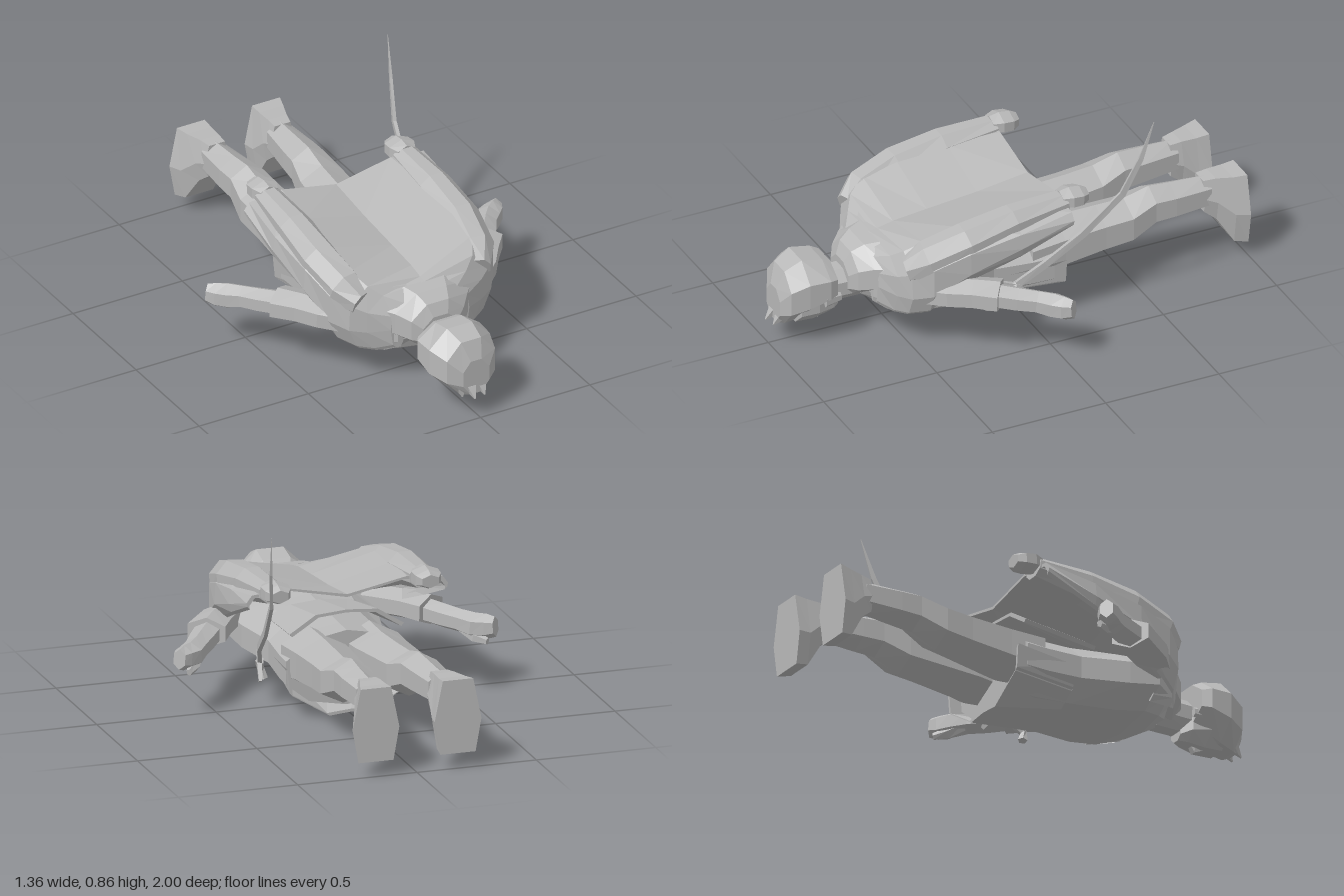
import * as THREE from 'three';

const clay = new THREE.MeshStandardMaterial({ color: 0xb8b8b8, flatShading: true, side: THREE.DoubleSide });
clay.name = 'plain grey';
const V = (x, y, z) => new THREE.Vector3(x, y, z);

// Skin a stack of equal-length rings, cap both ends and face the surface outward.
function loft(name, rings) {
  const tris = [], n = rings[0].length;
  for (let i = 0; i < rings.length - 1; i++)
    for (let j = 0; j < n; j++) {
      const k = (j + 1) % n, a = rings[i][j], b = rings[i][k], c = rings[i + 1][k], d = rings[i + 1][j];
      tris.push([a, b, c], [a, c, d]);
    }
  const cap = (r, flip) => {
    const add = (a, b, c) => tris.push(flip ? [a, c, b] : [a, b, c]);
    if (r.thin) { // strip cap for a sheet whose second half runs back along the first
      for (let j = 0; j < n / 2 - 1; j++) {
        add(r[j], r[j + 1], r[n - 2 - j]);
        add(r[j], r[n - 2 - j], r[n - 1 - j]);
      }
    } else {
      const mid = r.reduce((s, p) => s.add(p), V(0, 0, 0)).divideScalar(n);
      r.forEach((p, j) => add(mid, p, r[(j + 1) % n]));
    }
  };
  cap(rings[0], true);
  cap(rings[rings.length - 1], false);
  const volume = tris.reduce((s, [a, b, c]) => s + a.dot(b.clone().cross(c)), 0);
  const pts = tris.flatMap(([a, b, c]) => (volume < 0 ? [a, c, b] : [a, b, c]));
  const g = new THREE.BufferGeometry().setFromPoints(pts);
  g.computeVertexNormals();
  const m = new THREE.Mesh(g, clay);
  m.name = name;
  return m;
}

// Polygon ring facing along z: [x, y, z, half width, half height]
const ring = ([x, y, z, rx, ry], n = 8) => Array.from({ length: n }, (_, i) => {
  const a = (i + 0.5) / n * Math.PI * 2, f = 1 / Math.cos(Math.PI / n);
  return V(x + Math.cos(a) * rx * f, y + Math.sin(a) * ry * (n % 4 ? 1 : f), z);
});
const body = (name, rows, n) => loft(name, rows.map(r => ring(r, n)));

// Polygon tube whose rings stand square to its path: [x, y, z, side radius, upright radius]
function limb(name, rows, n = 6) {
  const p = rows.map(r => V(r[0], r[1], r[2]));
  return loft(name, rows.map((r, i) => {
    const t = p[Math.min(i + 1, p.length - 1)].clone().sub(p[Math.max(i - 1, 0)]).normalize();
    const u = t.clone().cross(V(0, 1, 0)).normalize(), v = u.clone().cross(t);
    return Array.from({ length: n }, (_, j) => {
      const a = (j + 0.5) / n * Math.PI * 2;
      return p[i].clone().addScaledVector(u, Math.cos(a) * r[3]).addScaledVector(v, Math.sin(a) * r[4]);
    });
  }));
}

// Shoe-shaped rings, narrow at the heel and wide at the ball: [x, z, half width, top, bottom]
const foot = (name, rows) => loft(name, rows.map(([x, z, w, top, low]) =>
  [[-0.65, 0], [0.65, 0], [1, 0.55], [0.75, 1], [-0.75, 1], [-1, 0.55]]
    .map(([a, b]) => V(x + a * w, top + (low - top) * b, z))));

// Thin sheet through mirrored half profiles [x, y], listed from the edge to the middle
function sheet(name, rows, t = 0.012) {
  return loft(name, rows.map(([z, ...half]) => {
    const outer = [...half.map(([x, y]) => [-x, y]), ...half.slice(0, -1).reverse()];
    const r = [...outer.map(([x, y]) => V(x, y, z)),
      ...outer.slice().reverse().map(([x, y]) => V(x - Math.sign(x) * t, y - t, z))];
    r.thin = true;
    return r;
  }));
}

export function createModel() {
  const g = new THREE.Group();
  g.name = 'lyingFigure';

  // Jacketed torso, chest down
  g.add(body('torso', [
    [0, 0.22, 0.62, 0.09, 0.075], [0, 0.22, 0.55, 0.21, 0.115], [0, 0.215, 0.45, 0.30, 0.14],
    [0, 0.20, 0.32, 0.285, 0.15], [0, 0.19, 0.12, 0.24, 0.15], [0, 0.18, -0.04, 0.25, 0.155],
    [0, 0.18, -0.14, 0.255, 0.155]], 10));
  g.add(sheet('jacketFrontHem', [
    [0.1, [0.24, 0.19], [0.21, 0.11], [0.13, 0.06], [0, 0.045]],
    [-0.19, [0.265, 0.21], [0.255, 0.11], [0.10, 0.014], [0, 0.022]]]));
  g.add(sheet('jacketTail', [
    [0.2, [0.22, 0.31], [0.12, 0.35], [0, 0.36]],
    [-0.14, [0.24, 0.34], [0.13, 0.41], [0, 0.42]]]));

  // Coat draped over the back and wrapped around the shoulders
  g.add(sheet('drapedCoat', [
    [0.6, [0.17, 0.18], [0.18, 0.25], [0.17, 0.31], [0.12, 0.36], [0, 0.385]],
    [0.555, [0.23, 0.16], [0.26, 0.24], [0.26, 0.33], [0.19, 0.39], [0, 0.40]],
    [0.52, [0.29, 0.17], [0.325, 0.25], [0.32, 0.36], [0.24, 0.43], [0, 0.405]],
    [0.45, [0.34, 0.19], [0.375, 0.27], [0.375, 0.39], [0.28, 0.475], [0, 0.42]],
    [0.3, [0.37, 0.30], [0.405, 0.35], [0.40, 0.44], [0.29, 0.51], [0, 0.435]],
    [0.08, [0.41, 0.385], [0.42, 0.42], [0.41, 0.48], [0.27, 0.525], [0, 0.455]],
    [-0.145, [0.42, 0.475], [0.422, 0.49], [0.40, 0.52], [0.25, 0.535], [0, 0.485]]]));

  // Coat collar, neck and head
  g.add(body('collar', [
    [0, 0.29, 0.55, 0.22, 0.11], [0, 0.28, 0.61, 0.165, 0.11], [0, 0.26, 0.66, 0.12, 0.10],
    [0, 0.24, 0.685, 0.08, 0.07]], 8));
  g.add(body('neck', [[0, 0.21, 0.6, 0.075, 0.07], [0, 0.21, 0.78, 0.07, 0.07]], 8));
  g.add(body('face', [
    [0, 0.14, 0.71, 0.035, 0.035], [0, 0.165, 0.745, 0.075, 0.065], [0, 0.185, 0.82, 0.10, 0.095],
    [0, 0.185, 0.9, 0.10, 0.09]], 8));
  g.add(limb('nose', [[0, 0.105, 0.84, 0.012, 0.012], [0, 0.085, 0.79, 0.02, 0.018], [0, 0.11, 0.775, 0.014, 0.01]], 4));
  g.add(body('hair', [
    [-0.015, 0.25, 0.745, 0.125, 0.085], [-0.02, 0.25, 0.78, 0.142, 0.1], [-0.022, 0.238, 0.87, 0.138, 0.13],
    [-0.012, 0.215, 0.945, 0.11, 0.12], [-0.005, 0.18, 0.975, 0.06, 0.075]], 8));
  // Fringe spikes
  for (const [x, z] of [[-0.06, 0.96], [-0.025, 1], [0.025, 0.99]])
    g.add(limb('fringeSpike', [[x, 0.18, 0.91, 0.035, 0.03], [x, 0.13, (z + 0.93) / 2, 0.025, 0.022],
      [x, 0.095, z, 0.003, 0.003]], 4));

  for (const s of [1, -1]) {
    const side = s > 0 ? 'left' : 'right';
    const mir = rows => rows.map(([x, ...r]) => [x * s, ...r]);

    g.add(body(side + 'Ear', mir([[0.1, 0.2, 0.73, 0.012, 0.02], [0.108, 0.2, 0.8, 0.014, 0.03]]), 6));
    // Standing lapel
    g.add(body(side + 'Lapel', mir([[0.14, 0.22, 0.61, 0.012, 0.05], [0.19, 0.21, 0.565, 0.02, 0.065],
      [0.24, 0.16, 0.44, 0.025, 0.04]]), 6));

    // Sleeve with flared cuff, then forearm and hand
    g.add(limb(side + 'Arm', mir([[0.29, 0.255, 0.45, 0.06, 0.06], [0.355, 0.265, 0.37, 0.08, 0.06],
      [0.41, 0.27, 0.29, 0.082, 0.06], [0.47, 0.268, 0.205, 0.09, 0.062]])));
    g.add(limb(side + 'Hand', mir([[0.45, 0.265, 0.23, 0.06, 0.05], [0.51, 0.255, 0.145, 0.056, 0.05],
      [0.555, 0.25, 0.08, 0.05, 0.048], [0.595, 0.242, 0.03, 0.055, 0.053], [0.635, 0.242, 0, 0.045, 0.052],
      [0.662, 0.245, -0.025, 0.03, 0.042]])));
    g.add(limb(side + 'Thumb', mir([[0.55, 0.23, 0.06, 0.02, 0.025], [0.59, 0.2, 0.01, 0.025, 0.025],
      [0.625, 0.19, -0.035, 0.012, 0.015]]), 5));

    // Empty coat sleeve trailing over the back
    g.add(limb(side + 'EmptySleeve', mir([[0.27, 0.36, 0.52, 0.05, 0.055], [0.3, 0.39, 0.44, 0.08, 0.095],
      [0.32, 0.445, 0.28, 0.085, 0.09], [0.32, 0.495, 0.08, 0.075, 0.07], [0.315, 0.525, -0.15, 0.058, 0.045]]), 8));
    g.add(limb(side + 'SleeveEnd', mir([[0.315, 0.54, -0.13, 0.045, 0.035], [0.315, 0.54, -0.17, 0.065, 0.043],
      [0.315, 0.537, -0.215, 0.062, 0.04], [0.315, 0.535, -0.245, 0.04, 0.028]])));

    // Leg and foot
    g.add(body(side + 'Leg', mir([[0.125, 0.21, -0.05, 0.12, 0.125], [0.122, 0.225, -0.2, 0.112, 0.11],
      [0.13, 0.24, -0.38, 0.1, 0.1], [0.138, 0.25, -0.5, 0.096, 0.095], [0.14, 0.288, -0.61, 0.075, 0.085],
      [0.145, 0.288, -0.7, 0.07, 0.08], [0.15, 0.29, -0.86, 0.055, 0.072]]), 6));
    g.add(foot(side + 'Foot', mir([[0.15, -0.83, 0.055, 0.36, 0.22], [0.155, -0.88, 0.065, 0.365, 0.18],
      [0.165, -0.945, 0.085, 0.365, 0.075], [0.172, -1, 0.098, 0.37, 0.065]])));
  }

  // Curved sword hung at the left hip, with guard and grip
  g.add(limb('swordBlade', [[0.3, 0.18, 0.05, 0.012, 0.02], [0.34, 0.27, -0.06, 0.012, 0.02],
    [0.365, 0.38, -0.21, 0.011, 0.02], [0.395, 0.54, -0.37, 0.01, 0.018],
    [0.42, 0.7, -0.44, 0.008, 0.014], [0.435, 0.865, -0.49, 0.001, 0.002]], 4));
  g.add(limb('swordGuard', [[0.315, 0.11, 0.0, 0.008, 0.01], [0.305, 0.17, 0.04, 0.014, 0.02],
    [0.285, 0.2, 0.12, 0.008, 0.01]], 4));
  g.add(limb('swordGrip', [[0.3, 0.18, 0.05, 0.018, 0.018], [0.28, 0.15, 0.12, 0.016, 0.016],
    [0.26, 0.11, 0.16, 0.016, 0.016], [0.25, 0.07, 0.15, 0.02, 0.018]], 5));
  return g;
}
